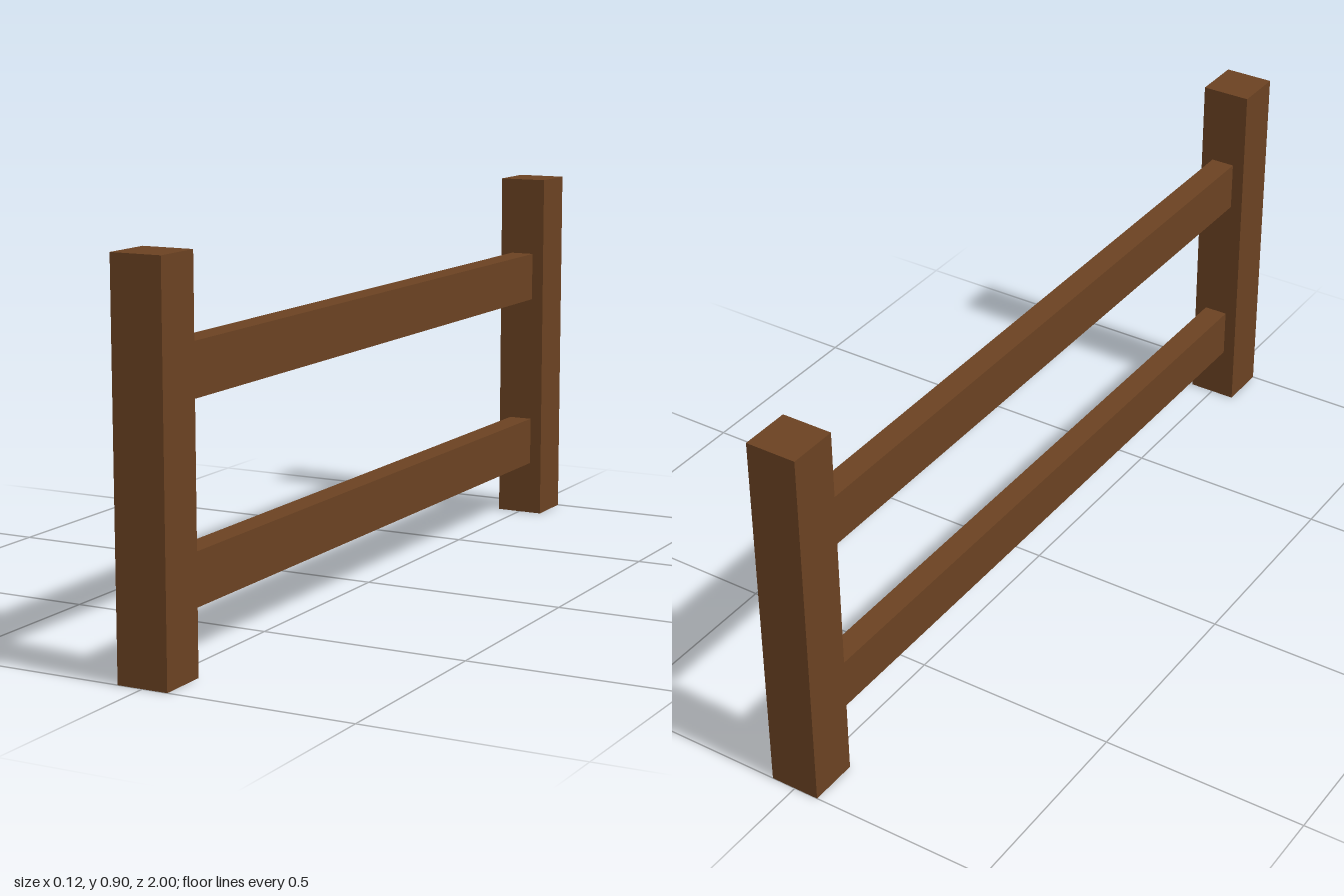
import * as THREE from 'three';

export function createModel() {
  const wood = new THREE.MeshStandardMaterial({ color: 0x6b4222 });
  wood.name = 'brownWood';

  const POST = 0.122, HEIGHT = 0.905;
  const RAIL_THICKNESS = 0.06, RAIL_HEIGHT = 0.122;
  const postZ = 1 - POST / 2;

  const fence = new THREE.Group();
  fence.name = 'fence';

  function addBeam(name, w, h, d, y, z) {
    const beam = new THREE.Mesh(new THREE.BoxGeometry(w, h, d), wood);
    beam.name = name;
    beam.position.set(0, y, z);
    fence.add(beam);
  }

  // Square posts at both ends
  addBeam('frontPost', POST, HEIGHT, POST, HEIGHT / 2, postZ);
  addBeam('backPost', POST, HEIGHT, POST, HEIGHT / 2, -postZ);

  // Flat rails spanning between the inner faces of the posts
  const railLength = 2 - 2 * POST;
  addBeam('lowerRail', RAIL_THICKNESS, RAIL_HEIGHT, railLength, 0.198, 0);
  addBeam('upperRail', RAIL_THICKNESS, RAIL_HEIGHT, railLength, 0.646, 0);

  return fence;
}
